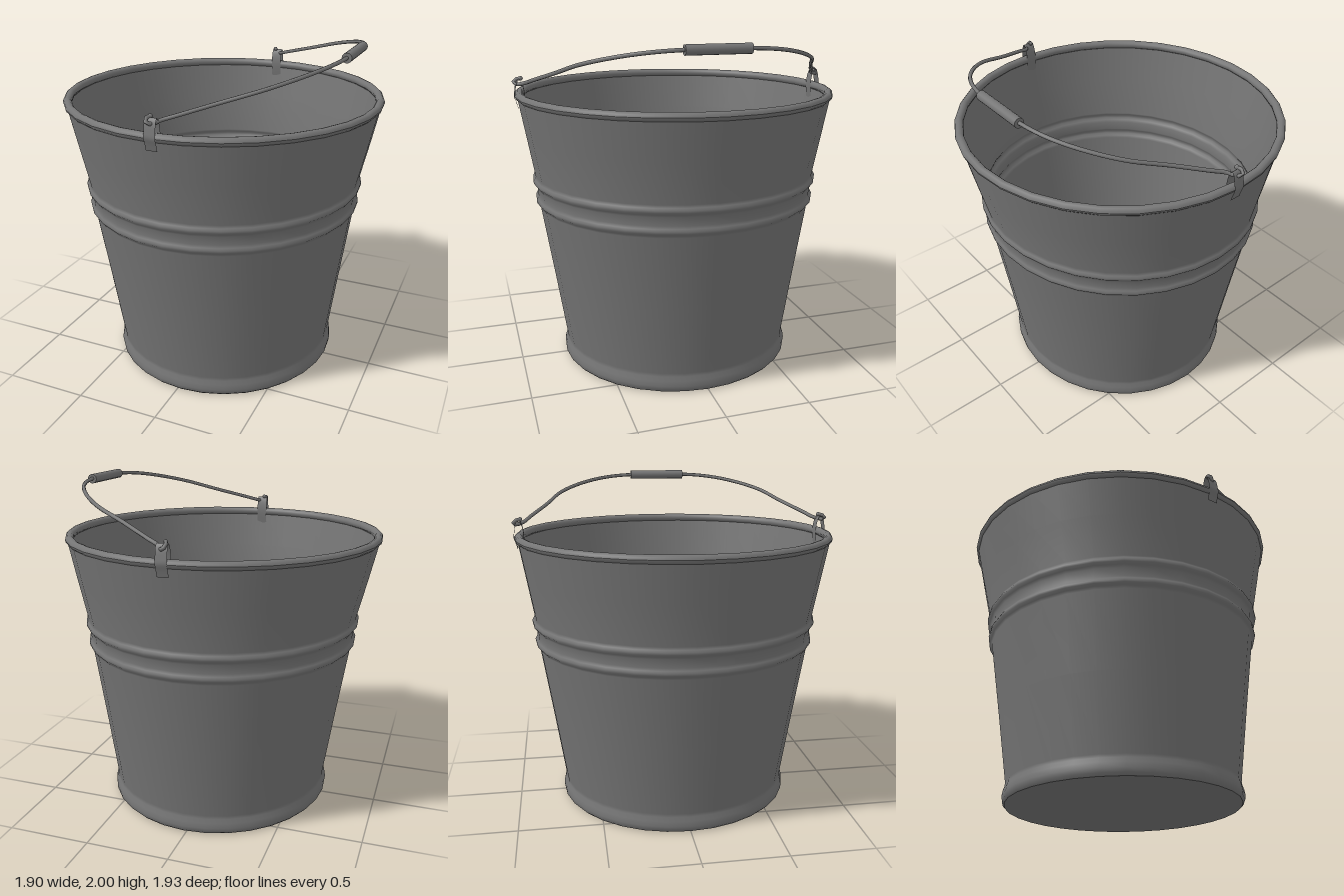
import * as THREE from 'three';

const SIDES = 32;
const steel = new THREE.MeshStandardMaterial({ color: 0x757575 });
steel.name = 'grey steel';
const sheet = new THREE.MeshStandardMaterial({ color: 0x757575, side: THREE.DoubleSide });
sheet.name = 'thin grey steel';

function add(parent, name, geometry, material = steel) {
  const mesh = new THREE.Mesh(geometry, material);
  mesh.name = name;
  parent.add(mesh);
  return mesh;
}

// The hand-worn shell is slightly oval and leans a little towards +x at the base
function wear(geometry) {
  const p = geometry.attributes.position;
  for (let i = 0; i < p.count; i++) {
    const y = p.getY(i);
    const squash = 0.96 + 0.035 * THREE.MathUtils.smoothstep(y, 1.1, 1.65);
    p.setX(i, p.getX(i) * squash + 0.02 * (1 - y / 1.66));
  }
  return geometry;
}

function turned(points) {
  return wear(new THREE.LatheGeometry(points.map(([r, y]) => new THREE.Vector2(r, y)), SIDES));
}

// Bent metal strip, given as [z, y] points and swept across x
function strip(path, width) {
  const curve = new THREE.CatmullRomCurve3(path.map(([z, y]) => new THREE.Vector3(0, y, z)));
  const n = 20;
  const g = new THREE.PlaneGeometry(width, 1, 1, n);
  const p = g.attributes.position;
  for (let i = 0; i < p.count; i++) {
    const c = curve.getPoint(Math.floor(i / 2) / n);
    p.setXYZ(i, p.getX(i) + 0.012, c.y, c.z);
  }
  g.computeVertexNormals();
  return g;
}

export function createModel() {
  const bucket = new THREE.Group();
  bucket.name = 'bucket';

  // Wall with a flared foot and two pressed ribs
  const wall = [
    [0.705, 0.005], [0.719, 0.02], [0.722, 0.045], [0.717, 0.075], [0.708, 0.1], [0.706, 0.12],
    [0.77, 0.55], [0.838, 0.99],
    [0.847, 1.005], [0.859, 1.018], [0.861, 1.032], [0.855, 1.045], [0.847, 1.06],
    [0.852, 1.11],
    [0.862, 1.125], [0.873, 1.138], [0.874, 1.152], [0.867, 1.165], [0.859, 1.18],
    [0.9, 1.42], [0.94, 1.65],
  ];
  add(bucket, 'outerWall', turned(wall));
  const inside = wall.slice(5).map(([r, y]) => [r - 0.022, y]);
  add(bucket, 'innerWall', turned([[0.672, 0.05], ...inside].reverse()));

  // Floor and underside
  add(bucket, 'floor', turned([[0.69, 0.05], [0, 0.05]]));
  add(bucket, 'underside', turned([[0, 0.005], [0.706, 0.005]]));

  // Rolled rim
  const roll = [];
  for (let i = 0; i <= 12; i++) {
    const a = (i / 12) * Math.PI * 2;
    roll.push([0.928 + 0.025 * Math.cos(a), 1.658 + 0.025 * Math.sin(a)]);
  }
  add(bucket, 'rim', turned(roll));

  // Folded ears that wrap the rim at front and back
  for (const s of [1, -1]) {
    const path = [
      [0.936, 1.59], [0.947, 1.63], [0.957, 1.66], [0.953, 1.69], [0.943, 1.74], [0.927, 1.762],
      [0.911, 1.74], [0.9, 1.69], [0.898, 1.65], [0.905, 1.58],
    ].map(([z, y]) => [z * s, y]);
    add(bucket, s > 0 ? 'frontEar' : 'backEar', strip(path, 0.065), sheet);
  }

  // Wire handle tipped to the model's left, in one sloping plane
  const handle = new THREE.Group();
  handle.name = 'handle';
  bucket.add(handle);
  const lift = (x) => 1.735 + (x - 0.02) * 0.313;
  const half = [[0.05, 0.895], [0.12, 0.86], [0.3, 0.76], [0.5, 0.66], [0.65, 0.51], [0.74, 0.35], [0.78, 0.17]];
  const hook = [[0.0, 1.765, 0.915], [-0.012, 1.757, 0.945], [0.0, 1.738, 0.957], [0.02, 1.733, 0.935]];
  const side = (s) => [
    ...hook.map(([x, y, z]) => new THREE.Vector3(x, y, z * s)),
    ...half.map(([x, z]) => new THREE.Vector3(x, lift(x), z * s)),
  ];
  const wirePath = new THREE.CatmullRomCurve3([...side(1), ...side(-1).reverse()]);
  add(handle, 'wire', new THREE.TubeGeometry(wirePath, 110, 0.011, 8));
  for (const s of [1, -1]) {
    const end = add(handle, 'wireEnd', new THREE.SphereGeometry(0.013, 8, 6));
    end.position.set(0, 1.765, 0.915 * s);
  }

  // Cylindrical grip
  const grip = add(handle, 'grip', new THREE.CylinderGeometry(0.028, 0.028, 0.36, 16));
  grip.rotation.x = Math.PI / 2;
  grip.position.set(0.78, 1.972, 0);

  return bucket;
}
